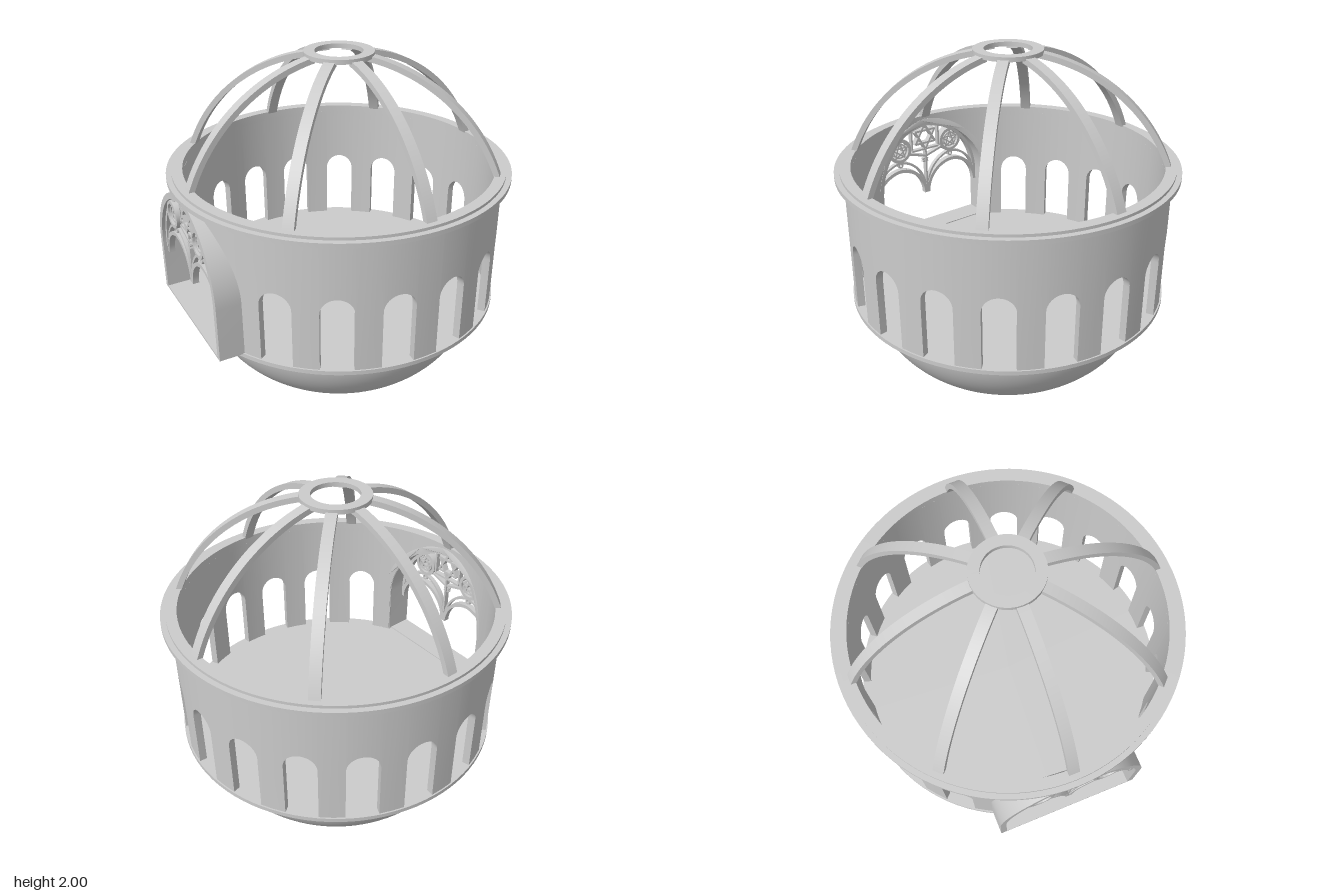
import * as THREE from 'three';
import { toCreasedNormals } from 'three/addons/utils/BufferGeometryUtils.js';

const material = new THREE.MeshStandardMaterial({ color: 0xcccccc, side: THREE.DoubleSide });
const RAD = Math.PI / 180;
const FLOOR = 0.6;

function add(parent, name, geometry) {
  const mesh = new THREE.Mesh(geometry, material);
  mesh.name = name;
  parent.add(mesh);
  return mesh;
}

function lathe(points, segments = 96) {
  const g = new THREE.LatheGeometry(points.map(p => new THREE.Vector2(p[0], p[1])), segments);
  return toCreasedNormals(g, 0.5);
}

// Two-centred pointed arch from left to right; offset 0 gives a round arch.
function archPoints(cx, half, offset, spring, base, n = 16) {
  const R = half + offset, end = Math.acos(offset / R), right = [];
  for (let i = 0; i <= n; i++) {
    const a = end * i / n;
    right.push([R * Math.cos(a) - offset, spring + R * Math.sin(a)]);
  }
  if (base < spring) right.unshift([half, base]);
  const left = right.map(([x, y]) => [cx - x, y]);
  return left.concat(right.slice(0, -1).reverse().map(([x, y]) => [cx + x, y]));
}

// Flat band between two concentric arches, extruded from zBack to zFront.
function archBand(cx, half, offset, spring, base, width, zBack, zFront) {
  const outer = archPoints(cx, half, offset, spring, base);
  const inner = archPoints(cx, half - width, offset, spring, base).reverse();
  const shape = new THREE.Shape(outer.concat(inner).map(p => new THREE.Vector2(p[0], p[1])));
  const g = new THREE.ExtrudeGeometry(shape, { depth: zFront - zBack, bevelEnabled: false });
  return g.translate(0, 0, zBack);
}

function ring(outer, inner, depth) {
  const shape = new THREE.Shape().absarc(0, 0, outer, 0, Math.PI * 2);
  shape.holes.push(new THREE.Path().absarc(0, 0, inner, 0, Math.PI * 2, true));
  const g = new THREE.ExtrudeGeometry(shape, { depth, bevelEnabled: false, curveSegments: 24 });
  return toCreasedNormals(g, 0.5);
}

function bar(parent, name, a, b, width, z, depth) {
  const dx = b[0] - a[0], dy = b[1] - a[1];
  const mesh = add(parent, name, new THREE.BoxGeometry(Math.hypot(dx, dy), width, depth));
  mesh.position.set((a[0] + b[0]) / 2, (a[1] + b[1]) / 2, z);
  mesh.rotation.z = Math.atan2(dy, dx);
}

// Star outline made by joining every second corner.
function star(parent, name, x, y, radius, corners, width, z, depth) {
  const corner = i => {
    const a = Math.PI / 2 + i * 2 * Math.PI / corners;
    return [x + radius * Math.cos(a), y + radius * Math.sin(a)];
  };
  for (let i = 0; i < corners; i++) bar(parent, name, corner(i), corner(i + 2), width, z, depth);
}

// Cylinder wall whose lower edge rises over every opening.
function drumWall() {
  const rOut = 0.912, rIn = 0.87, top = 1.345, half = 5.6 * RAD, edge = [];
  for (const [t, h] of archPoints(0, 0.4, 0.03, 0.91, FLOOR)) edge.push([Math.asin(t / 0.9), h]);
  for (let k = 2; k <= 16; k++) {
    const c = 20 * k * RAD;
    edge.push([c - 10 * RAD, FLOOR], [c - half, FLOOR]);
    for (let i = 0; i <= 16; i++) {
      const a = Math.PI * (1 - i / 16);
      edge.push([c + half * Math.cos(a), 0.94 + 0.09 * Math.sin(a)]);
    }
    edge.push([c + half, FLOOR]);
  }
  edge.push([2 * Math.PI + edge[0][0], FLOOR]);

  const positions = [];
  const section = ([a, h]) => [[rOut, h], [rOut, top], [rIn, top], [rIn, h]]
    .map(([r, y]) => [r * Math.sin(a), y, r * Math.cos(a)]);
  for (let i = 0; i < edge.length - 1; i++) {
    const A = section(edge[i]), B = section(edge[i + 1]);
    const upright = Math.abs(edge[i][0] - edge[i + 1][0]) < 1e-6;
    for (let k = upright ? 3 : 0; k < 4; k++) {
      const n = (k + 1) % 4;
      positions.push(...A[k], ...B[k], ...B[n], ...A[k], ...B[n], ...A[n]);
    }
  }
  const g = new THREE.BufferGeometry();
  g.setAttribute('position', new THREE.Float32BufferAttribute(positions, 3));
  return toCreasedNormals(g, 0.5);
}

function buildPortal() {
  const portal = new THREE.Group();
  portal.name = 'portal';

  // Deep outer frame, its back edge fitted to the round wall
  const frame = archBand(0, 0.425, 0.03, 0.91, FLOOR, 0.035, 0, 0.945);
  const p = frame.attributes.position;
  for (let i = 0; i < p.count; i++) {
    if (p.getZ(i) < 0.5) p.setZ(i, Math.sqrt(0.868 ** 2 - p.getX(i) ** 2));
  }
  add(portal, 'portalFrame', toCreasedNormals(frame, 0.5));
  add(portal, 'innerArch', toCreasedNormals(archBand(0, 0.392, 0.03, 0.91, 0.88, 0.022, 0.885, 0.925), 0.5));
  add(portal, 'portalSill', new THREE.BoxGeometry(0.84, 0.012, 0.145)).position.set(0, 0.604, 0.8725);

  for (const s of [-1, 1]) {
    // Paired small arches, with a lighter pair above
    add(portal, 'lancetArch', toCreasedNormals(archBand(s * 0.195, 0.197, 0.01, 0.84, 0.84, 0.022, 0.885, 0.92), 0.5));
    add(portal, 'upperArch', toCreasedNormals(archBand(s * 0.195, 0.192, 0.03, 0.88, 0.86, 0.014, 0.89, 0.915), 0.5));
    // Rosette with five-pointed star
    add(portal, 'rosetteRing', ring(0.08, 0.06, 0.05)).position.set(s * 0.19, 1.175, 0.885);
    add(portal, 'rosetteInnerRing', ring(0.05, 0.041, 0.035)).position.set(s * 0.19, 1.175, 0.89);
    star(portal, 'rosetteStar', s * 0.19, 1.175, 0.06, 5, 0.01, 0.905, 0.03);
    add(portal, 'smallRing', ring(0.018, 0.009, 0.03)).position.set(s * 0.19, 1.075, 0.89);
    // Ribs tying the rosettes to the arch and the centre
    const curve = new THREE.QuadraticBezierCurve(
      new THREE.Vector2(s * 0.37, 1.0), new THREE.Vector2(s * 0.32, 1.22), new THREE.Vector2(s * 0.08, 1.33));
    const pts = curve.getPoints(10);
    for (let i = 0; i < 10; i++) {
      bar(portal, 'tracerySweep', pts[i].toArray(), pts[i + 1].toArray(), 0.014, 0.905, 0.03);
    }
    bar(portal, 'traceryTie', [0, 1.1], [s * 0.13, 1.14], 0.014, 0.902, 0.03);
    bar(portal, 'traceryTie', [s * 0.1, 1.16], [s * 0.1, 1.32], 0.012, 0.902, 0.03);
  }
  // Central six-pointed star and the little star below it
  star(portal, 'centreStar', 0, 1.235, 0.085, 6, 0.013, 0.905, 0.035);
  for (const y of [1.15, 1.32]) bar(portal, 'centreRail', [-0.1, y], [0.1, y], 0.012, 0.902, 0.03);
  star(portal, 'littleStar', 0, 1.07, 0.022, 6, 0.006, 0.905, 0.02);
  bar(portal, 'centreStem', [0, 0.85], [0, 1.15], 0.012, 0.9, 0.03);
  return portal;
}

export function createModel() {
  const model = new THREE.Group();
  model.name = 'domedPavilion';
  const body = new THREE.Group();
  body.name = 'pavilionBody';
  body.position.z = -0.03;
  body.rotation.y = -13.5 * RAD;
  model.add(body);

  // Half-ellipsoid bowl
  const bowl = [];
  for (let i = 0; i <= 32; i++) {
    const a = Math.PI / 2 * i / 32;
    bowl.push([0.815 * Math.sin(a), 0.585 - 0.585 * Math.cos(a)]);
  }
  add(body, 'bowl', lathe(bowl));

  // Floor slab, arcaded wall and stepped rim
  add(body, 'floorSlab', lathe([[0, 0.58], [0.92, 0.58], [0.92, 0.604], [0, 0.604]]));
  add(body, 'arcadeWall', drumWall());
  add(body, 'rim', lathe([
    [0.87, 1.33], [0.935, 1.33], [0.935, 1.345], [0.96, 1.345], [0.96, 1.37],
    [0.93, 1.37], [0.93, 1.386], [0.87, 1.386], [0.87, 1.33],
  ]));

  // Eight curved dome ribs and the crown ring
  const arc = new THREE.Shape();
  arc.absarc(0, 0, 0.963, 0.355, 1.4, false);
  arc.absarc(0, 0, 0.932, 1.4, 0.355, true);
  const ribGeometry = toCreasedNormals(
    new THREE.ExtrudeGeometry(arc, { depth: 0.06, bevelEnabled: false, curveSegments: 28 })
      .translate(0, 1.04, -0.03), 0.5);
  for (let k = 0; k < 8; k++) add(body, 'domeRib', ribGeometry).rotation.y = k * Math.PI / 4;
  add(body, 'crownRing', lathe([[0.13, 1.975], [0.19, 1.975], [0.19, 2], [0.13, 2], [0.13, 1.975]], 48));

  body.add(buildPortal());
  return model;
}
